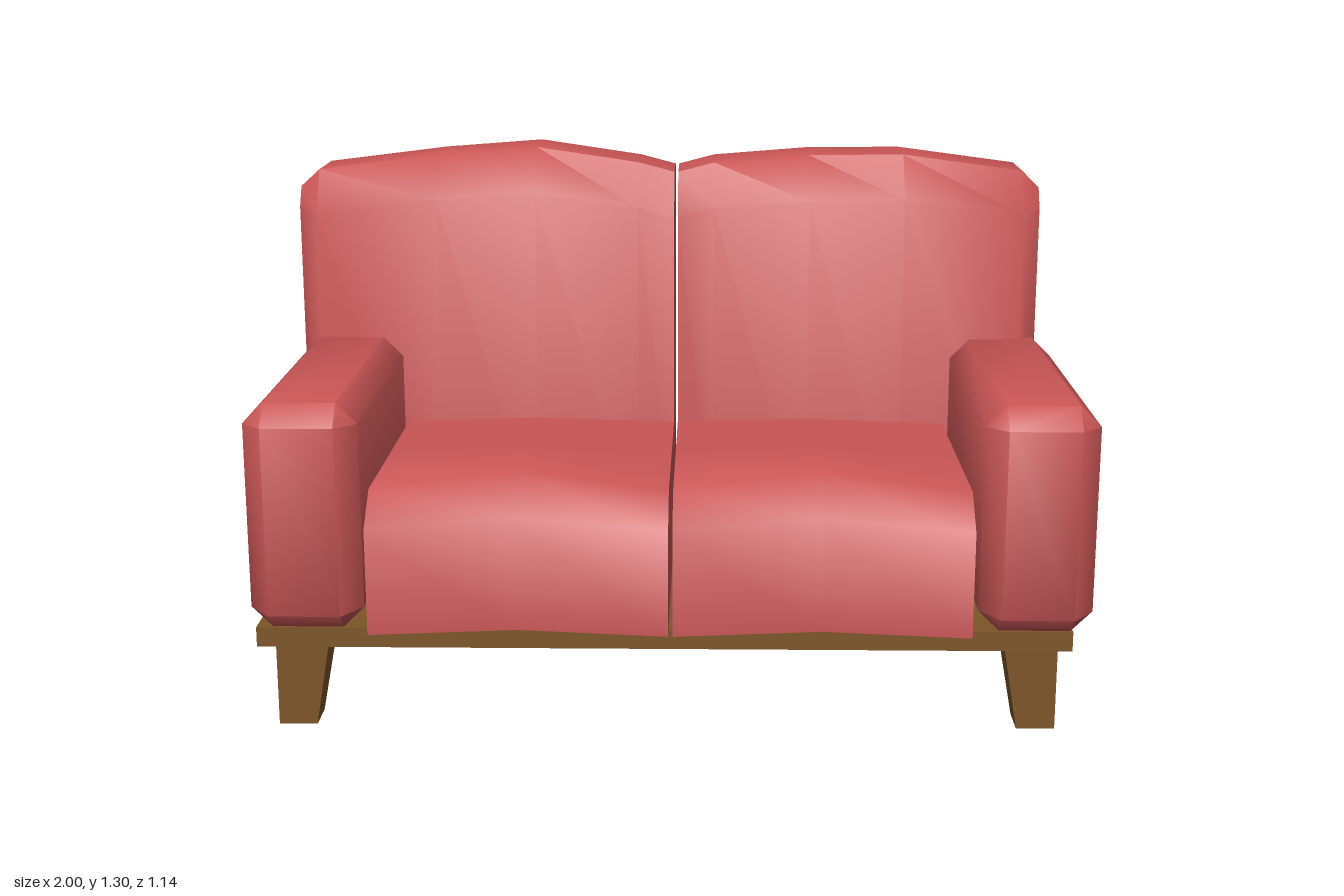
import * as THREE from 'three';
import { toCreasedNormals } from 'three/addons/utils/BufferGeometryUtils.js';

const fabric = new THREE.MeshStandardMaterial({ color: 0xc95555 });
const wood = new THREE.MeshStandardMaterial({ color: 0x7d5529 });

// Skins a row of equal-length rings (arrays of [x, y, z]) and caps both ends.
function loft(rings) {
  const n = rings[0].length;
  const last = rings.length - 1;
  const index = [];
  for (let s = 0; s < last; s++) {
    for (let i = 0; i < n; i++) {
      const j = (i + 1) % n;
      const a = s * n + i, b = s * n + j, c = b + n, d = a + n;
      index.push(a, b, c, a, c, d);
    }
  }
  for (let i = 1; i < n - 1; i++) {
    index.push(0, i + 1, i);
    index.push(last * n, last * n + i, last * n + i + 1);
  }
  const geometry = new THREE.BufferGeometry();
  geometry.setAttribute('position', new THREE.Float32BufferAttribute(rings.flat(2), 3));
  geometry.setIndex(index);
  return toCreasedNormals(geometry, 0.9);
}

function addMesh(parent, name, geometry, material) {
  const mesh = new THREE.Mesh(geometry, material);
  mesh.name = name;
  parent.add(mesh);
  return mesh;
}

// Chamfered arm block, lofted from back to front
function armGeometry() {
  const x = 0.135, c = 0.05, low = 0.255;
  const octagon = (z, top) => [
    [x - c, low, z], [x, low + c, z], [x, top - c, z], [x - c, top, z],
    [c - x, top, z], [-x, top - c, z], [-x, low + c, z], [c - x, low, z],
  ];
  const endFace = (z, top) => {
    const w = x - c;
    return [[w, 0.297], [w, 0.297], [w, top], [w, top], [-w, top], [-w, top], [-w, 0.297], [-w, 0.297]]
      .map(([px, py]) => [px, py, z]);
  };
  return loft([
    endFace(-0.445, 0.755), octagon(-0.41, 0.79), octagon(-0.27, 0.79),
    octagon(-0.255, 0.805), octagon(0.52, 0.805), endFace(0.57, 0.755),
  ]);
}

// Backrest cross-section at x: top height, front and rear depth
function backRing(x, top, front, rear) {
  return [
    [front, 0.255], [-0.55, 0.255], [rear, 0.52], [rear, top - 0.045],
    [-0.52, top - 0.012], [-0.48, top], [-0.3, top], [front, top - 0.11],
  ].map(([z, y]) => [x, y, z]);
}

// Smaller section that closes the chamfered outer end of a backrest
function backEnd(x) {
  return [
    [-0.27, 0.29], [-0.51, 0.29], [-0.52, 0.52], [-0.52, 1.17],
    [-0.51, 1.19], [-0.48, 1.2], [-0.3, 1.2], [-0.27, 1.15],
  ].map(([z, y]) => [x, y, z]);
}

// Seat cushion with a crowned front edge
function seatGeometry(x0, x1) {
  const section = (x, k) => [
    [0.55, 0.245 + 0.015 * k], [-0.25, 0.245 + 0.015 * k], [-0.25, 0.575 + 0.015 * k],
    [0.1, 0.577 + 0.023 * k], [0.46, 0.58 + 0.045 * k], [0.55, 0.505 + 0.03 * k],
  ].map(([z, y]) => [x, y, z]);
  return loft([section(x0, 0), section((x0 + x1) / 2, 1), section(x1, 0)]);
}

// Leg tapering on its two inner sides; built for the +x, +z corner
function legGeometry(sx, sz) {
  const geometry = new THREE.BoxGeometry(0.128, 0.21, 0.125);
  const p = geometry.attributes.position;
  for (let i = 0; i < p.count; i++) {
    if (p.getY(i) > 0) continue;
    if (p.getX(i) * sx < 0) p.setX(i, p.getX(i) + sx * 0.036);
    if (p.getZ(i) * sz < 0) p.setZ(i, p.getZ(i) + sz * 0.032);
  }
  geometry.computeVertexNormals();
  return geometry;
}

export function createModel() {
  const sofa = new THREE.Group();
  sofa.name = 'sofa';

  // Wooden base and legs
  const board = addMesh(sofa, 'baseBoard', new THREE.BoxGeometry(1.945, 0.048, 1.08), wood);
  board.position.set(-0.017, 0.231, -0.01);
  for (const sx of [-1, 1]) {
    for (const sz of [-1, 1]) {
      const name = (sz > 0 ? 'front' : 'back') + (sx > 0 ? 'Left' : 'Right') + 'Leg';
      const leg = addMesh(sofa, name, legGeometry(sx, sz), wood);
      leg.position.set(-0.012 + sx * 0.873, 0.105, 0.013 + sz * 0.43);
    }
  }

  // Arms
  for (const side of [-1, 1]) {
    const arm = addMesh(sofa, side > 0 ? 'leftArm' : 'rightArm', armGeometry(), fabric);
    arm.position.x = side * 0.865;
  }

  // Seat cushions
  addMesh(sofa, 'rightSeatCushion', seatGeometry(-0.72, -0.005), fabric);
  addMesh(sofa, 'leftSeatCushion', seatGeometry(0.005, 0.715), fabric);

  // Back cushions
  addMesh(sofa, 'rightBackCushion', loft([
    backEnd(-1),
    backRing(-0.95, 1.245, -0.228, -0.56),
    backRing(-0.63, 1.285, -0.213, -0.562),
    backRing(-0.37, 1.305, -0.2, -0.568),
    backRing(-0.1, 1.265, -0.22, -0.562),
    backRing(-0.005, 1.24, -0.228, -0.56),
  ]), fabric);
  addMesh(sofa, 'leftBackCushion', loft([
    backRing(0.005, 1.24, -0.228, -0.56),
    backRing(0.1, 1.265, -0.22, -0.562),
    backRing(0.35, 1.285, -0.2, -0.568),
    backRing(0.6, 1.287, -0.213, -0.562),
    backRing(0.915, 1.245, -0.228, -0.56),
    backEnd(0.96),
  ]), fabric);

  return sofa;
}
